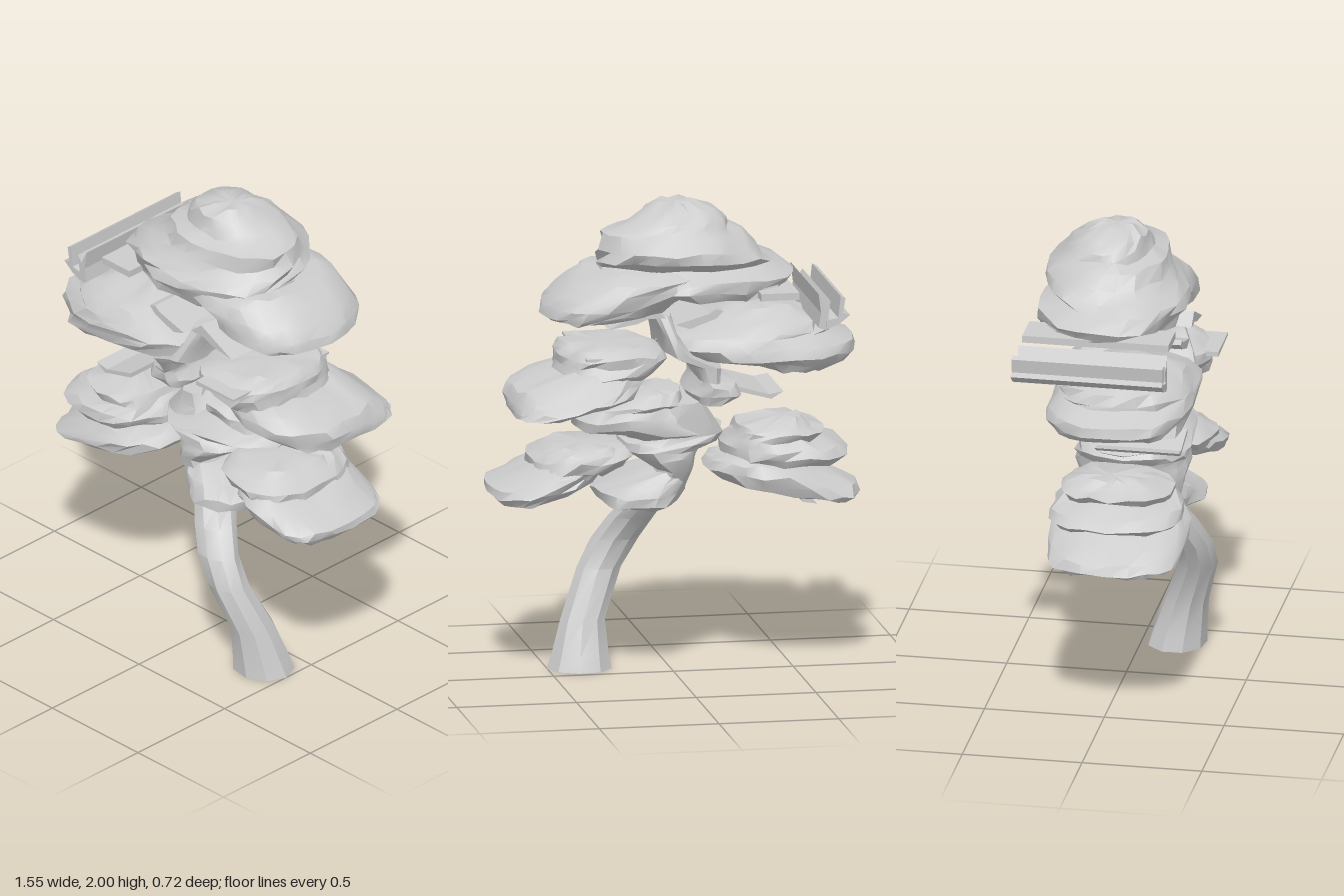
import * as THREE from 'three';
import { toCreasedNormals } from 'three/addons/utils/BufferGeometryUtils.js';

let seed = 11;
const rnd = () => (seed = (seed * 16807) % 2147483647) / 2147483647;
const bend = (v, p) => Math.sign(v) * Math.abs(v) ** p;

// Closed loft through oval rings [y, xMin, xMax, zMin, zMax], listed from bottom to top
function loft(rings, { sides = 22, rough = 0.08, tilt = 0, lift = 0, power = 1 } = {}) {
  const pos = [], idx = [], n = sides;
  rings.forEach(([y, x0, x1, z0, z1]) => {
    const cx = (x0 + x1) / 2, cz = (z0 + z1) / 2;
    for (let j = 0; j < n; j++) {
      const a = (j / n) * Math.PI * 2, k = 1 + rough * (0.3 - rnd());
      const dx = bend(Math.cos(a), power) * (x1 - x0) / 2 * k;
      const dz = bend(Math.sin(a), power) * (z1 - z0) / 2 * k;
      pos.push(cx + dx, y - tilt * dx + lift * (rnd() - 0.5), cz + dz);
    }
  });
  rings.forEach(([y, x0, x1, z0, z1]) => pos.push((x0 + x1) / 2, y, (z0 + z1) / 2));
  const last = rings.length - 1, mid = rings.length * n;
  for (let j = 0; j < n; j++) {
    const k = (j + 1) % n;
    for (let i = 0; i < last; i++) {
      const a = i * n + j, b = i * n + k, c = a + n, d = b + n;
      idx.push(a, c, b, b, c, d);
    }
    idx.push(mid, j, k, mid + last, last * n + k, last * n + j);
  }
  const g = new THREE.BufferGeometry();
  g.setAttribute('position', new THREE.Float32BufferAttribute(pos, 3));
  g.setIndex(idx);
  return toCreasedNormals(g, 0.6);
}

// Front outline carried along z
function plank(points, z0, z1) {
  const shape = new THREE.Shape(points.map(([x, y]) => new THREE.Vector2(x, y)));
  const g = new THREE.ExtrudeGeometry(shape, { depth: z1 - z0, bevelEnabled: false });
  return g.translate(0, 0, z0);
}

export function createModel() {
  const tree = new THREE.Group();
  tree.name = 'tree';
  const grey = new THREE.MeshStandardMaterial({ color: 0xcccccc });
  grey.name = 'plainGrey';
  const add = (name, geometry) => {
    const m = new THREE.Mesh(geometry, grey);
    m.name = name;
    tree.add(m);
  };
  const pad = (name, rings, tilt = 0, power = 0.82) =>
    add(name, loft(rings, { tilt, power, lift: 0.02, rough: 0.09 }));

  // Leaning trunk
  add('trunk', loft([
    [0, 0.23, 0.5, 0.02, 0.27], [0.06, 0.24, 0.48, 0.04, 0.27], [0.2, 0.25, 0.44, 0.09, 0.28],
    [0.4, 0.17, 0.36, 0.17, 0.33], [0.52, 0.1, 0.3, 0.17, 0.32], [0.62, 0.04, 0.24, 0.12, 0.28],
    [0.7, 0, 0.18, 0.06, 0.24], [0.8, -0.03, 0.15, 0, 0.2],
  ], { sides: 9, rough: 0.04 }));

  // Crown cap
  pad('crownTop', [
    [1.62, -0.46, 0.25, -0.33, 0.24], [1.65, -0.47, 0.34, -0.35, 0.25], [1.69, -0.5, 0.35, -0.34, 0.27],
    [1.73, -0.44, 0.33, -0.25, 0.27], [1.77, -0.37, 0.33, -0.33, 0.23], [1.81, -0.33, 0.32, -0.33, 0.2],
    [1.87, -0.28, 0.31, -0.27, 0.18], [1.89, -0.22, 0.25, -0.25, 0.12], [1.92, -0.21, 0.2, -0.23, 0.1],
    [1.96, -0.17, 0.14, -0.18, 0.09], [1.99, -0.07, 0.08, -0.11, 0.04],
  ], 0, 0.95);
  pad('crownRight', [
    [1.54, 0.22, 0.54, -0.32, 0.21], [1.56, 0.06, 0.57, -0.34, 0.24], [1.6, 0, 0.56, -0.35, 0.24],
    [1.65, -0.14, 0.53, -0.35, 0.25], [1.7, -0.15, 0.45, -0.34, 0.23], [1.73, -0.1, 0.4, -0.28, 0.2],
  ], 0.05);

  // Upper left pad
  pad('upperLeftPad', [
    [1.28, -0.62, -0.36, -0.2, 0.3], [1.31, -0.72, -0.26, -0.22, 0.33], [1.34, -0.77, -0.02, -0.25, 0.35],
    [1.38, -0.76, 0.06, -0.24, 0.36], [1.42, -0.66, 0.07, -0.22, 0.35], [1.44, -0.66, -0.02, -0.21, 0.34],
    [1.48, -0.63, -0.13, -0.17, 0.31], [1.5, -0.56, -0.18, -0.13, 0.26], [1.53, -0.5, -0.25, -0.08, 0.16],
  ]);

  // Right pad in two steps
  pad('middleRightPadLow', [
    [1.14, 0.48, 0.7, -0.35, 0.18], [1.17, 0.3, 0.71, -0.36, 0.22], [1.2, 0.18, 0.71, -0.35, 0.27],
    [1.24, 0.14, 0.69, -0.3, 0.28], [1.28, 0.11, 0.6, -0.24, 0.26], [1.31, 0.12, 0.48, -0.2, 0.22],
  ], 0.04);
  pad('middleRightPadHigh', [
    [1.26, 0.12, 0.48, -0.23, 0.28], [1.29, 0.08, 0.5, -0.25, 0.3], [1.33, 0.03, 0.49, -0.22, 0.31],
    [1.36, 0.04, 0.5, -0.22, 0.31], [1.39, 0.1, 0.48, -0.18, 0.25], [1.4, 0.14, 0.46, -0.14, 0.2],
  ], 0.02);

  // Centre pads
  pad('middlePad', [
    [1.01, -0.18, 0.2, -0.18, 0.22], [1.03, -0.2, 0.26, -0.21, 0.27], [1.06, -0.1, 0.42, -0.22, 0.26],
    [1.1, -0.05, 0.42, -0.22, 0.2], [1.14, -0.03, 0.38, -0.2, 0.2], [1.16, -0.03, 0.28, -0.22, 0.21],
    [1.2, -0.02, 0.22, -0.16, 0.16],
  ], 0.03);
  pad('lowerMiddlePad', [
    [0.72, 0.04, 0.24, -0.18, 0.24], [0.74, -0.01, 0.32, -0.24, 0.3], [0.78, -0.04, 0.33, -0.24, 0.3],
    [0.82, -0.05, 0.26, -0.22, 0.27], [0.87, -0.06, 0.14, -0.18, 0.22],
  ], 0.03);

  // Lower left pads
  pad('lowerLeftPadBottom', [
    [0.73, -0.75, -0.5, -0.2, 0.3], [0.75, -0.78, -0.36, -0.23, 0.33], [0.79, -0.76, -0.19, -0.24, 0.34],
    [0.84, -0.65, -0.13, -0.23, 0.33], [0.88, -0.58, -0.15, -0.21, 0.3], [0.9, -0.52, -0.2, -0.18, 0.26],
  ], -0.05);
  pad('lowerLeftPadTop', [
    [0.88, -0.68, -0.26, -0.21, 0.3], [0.91, -0.74, -0.21, -0.23, 0.33], [0.95, -0.7, -0.21, -0.22, 0.32],
    [0.98, -0.6, -0.23, -0.19, 0.28], [1.01, -0.63, -0.25, -0.2, 0.28], [1.03, -0.57, -0.26, -0.17, 0.22],
    [1.06, -0.53, -0.38, -0.1, 0.14],
  ]);

  // Lower right pads
  pad('lowerRightPadBottom', [
    [0.76, 0.56, 0.74, -0.2, 0.26], [0.79, 0.43, 0.78, -0.23, 0.3], [0.82, 0.34, 0.77, -0.24, 0.33],
    [0.87, 0.3, 0.67, -0.22, 0.33], [0.91, 0.26, 0.6, -0.2, 0.28],
  ], 0.05);
  pad('lowerRightPadTop', [
    [0.87, 0.28, 0.56, -0.2, 0.27], [0.89, 0.22, 0.6, -0.23, 0.3], [0.93, 0.17, 0.6, -0.23, 0.31],
    [0.96, 0.18, 0.56, -0.2, 0.27], [0.98, 0.22, 0.52, -0.16, 0.22],
  ], 0.03);

  // Upper trunk and limbs between the pads
  add('innerTrunk', loft([
    [0.78, -0.04, 0.13, -0.14, 0.23], [0.88, -0.07, 0.09, -0.2, 0.25], [0.93, -0.08, 0.18, -0.22, 0.26],
    [0.96, -0.09, 0.23, -0.22, 0.26], [0.99, -0.18, 0.23, -0.21, 0.25], [1.02, -0.2, 0.16, -0.19, 0.23],
    [1.1, -0.15, 0.1, -0.2, 0.2], [1.17, -0.1, 0.05, -0.2, 0.2],
  ], { sides: 14, rough: 0.06, power: 0.7, lift: 0.015 }));
  add('middleLimb', loft([
    [1.16, -0.2, -0.06, -0.22, 0.22], [1.19, -0.27, -0.04, -0.24, 0.24], [1.23, -0.24, -0.07, -0.24, 0.24],
    [1.25, -0.17, -0.08, -0.23, 0.25], [1.31, -0.18, -0.05, -0.22, 0.28], [1.36, -0.07, 0.06, -0.21, 0.3],
    [1.44, 0, 0.07, -0.19, 0.28], [1.52, 0.02, 0.11, -0.12, 0.24],
  ], { sides: 14, rough: 0.06, power: 0.65, lift: 0.015 }));

  // Flat ledges under the crown and on the right pad
  add('crownLedge', plank([[-0.46, 1.62], [-0.3, 1.62], [-0.3, 1.65], [-0.46, 1.65]], -0.35, 0.26));
  add('rightLedge', plank([[0.18, 1.35], [0.4, 1.36], [0.4, 1.37], [0.18, 1.37]], -0.2, 0.35));

  // Thin twigs
  add('leftTwig', plank([[-0.45, 1.17], [-0.4, 1.14], [-0.25, 1.18], [-0.25, 1.2], [-0.39, 1.16]], -0.05, 0.3));
  add('lowTwig', plank([[-0.6, 0.68], [-0.54, 0.69], [-0.5, 0.77], [-0.54, 0.77], [-0.56, 0.71]], 0, 0.2));
  add('upperRightTwig', plank([[0.06, 1.52], [0.13, 1.52], [0.18, 1.5], [0.3, 1.48], [0.2, 1.53],
    [0.12, 1.57]], -0.15, 0.26));
  add('crownTwig', plank([[-0.18, 1.54], [-0.15, 1.51], [-0.04, 1.47], [0.02, 1.49], [-0.12, 1.53],
    [-0.15, 1.55]], -0.15, 0.26));
  add('forkedTwigLeft', plank([[-0.67, 1.55], [-0.62, 1.51], [-0.57, 1.5], [-0.57, 1.53], [-0.62, 1.54],
    [-0.63, 1.63], [-0.65, 1.62], [-0.64, 1.56]], -0.36, 0.27));
  add('forkedTwigRight', plank([[-0.6, 1.5], [-0.56, 1.49], [-0.54, 1.5], [-0.55, 1.56], [-0.54, 1.64],
    [-0.57, 1.58], [-0.59, 1.61], [-0.58, 1.54]], -0.35, 0.27));
  return tree;
}
